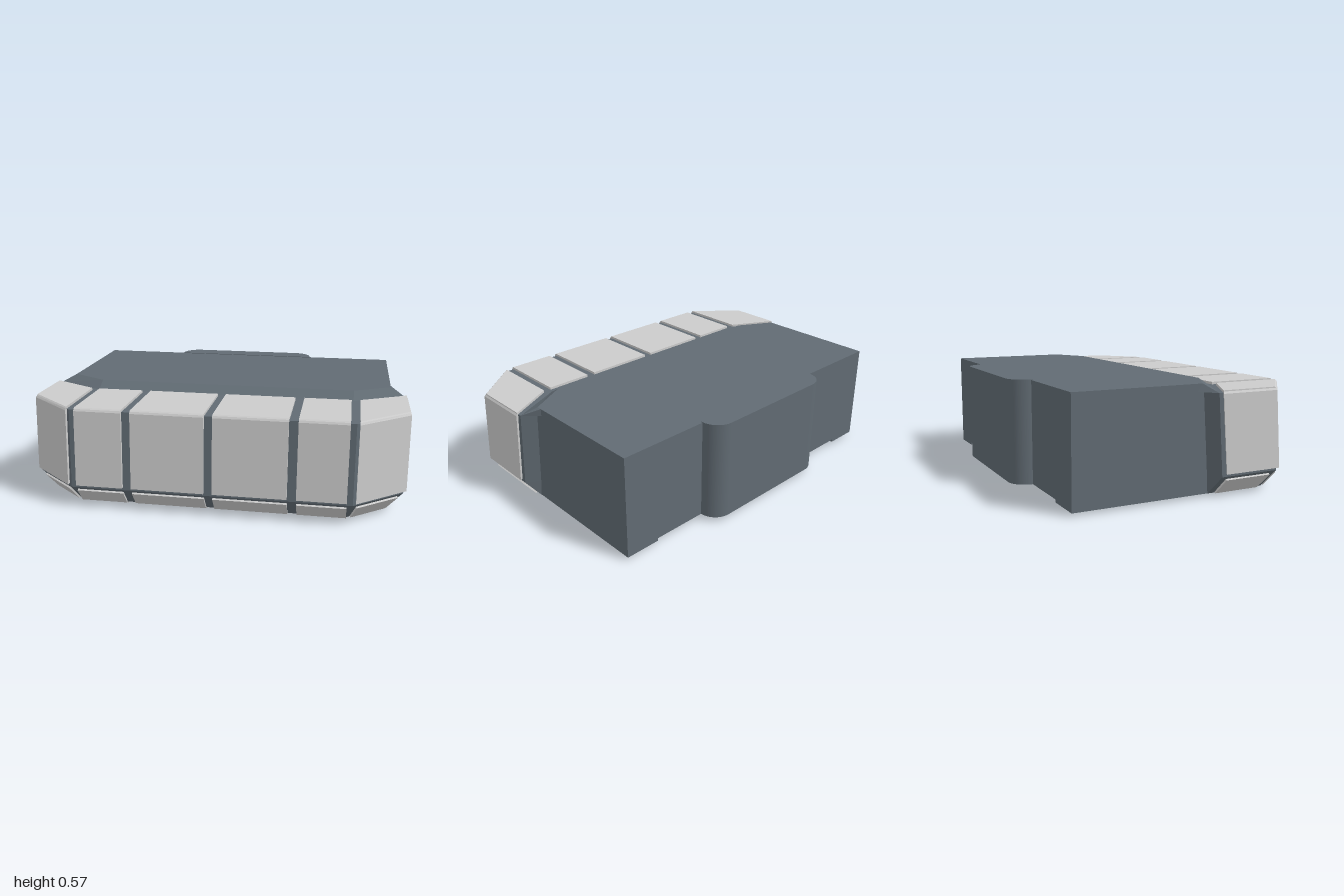
import * as THREE from 'three';

const dark = new THREE.MeshStandardMaterial({ color: 0x616b73 });
const grey = new THREE.MeshStandardMaterial({ color: 0xcccccc });

// Closed solid through rings of [x, y, z] points (clockwise seen from the last ring's side)
function loft(rings) {
  const pos = [];
  const tri = (...pts) => pts.forEach(p => pos.push(...p));
  const n = rings[0].length;
  const centre = r => [0, 1, 2].map(k => r.reduce((s, p) => s + p[k], 0) / n);
  const first = rings[0], last = rings[rings.length - 1];
  const c0 = centre(first), c1 = centre(last);
  for (let i = 0; i < n; i++) {
    const j = (i + 1) % n;
    for (let k = 0; k + 1 < rings.length; k++) {
      const lo = rings[k], up = rings[k + 1];
      tri(lo[i], up[i], lo[j]);
      tri(up[i], up[j], lo[j]);
    }
    tri(c0, first[i], first[j]);
    tri(c1, last[j], last[i]);
  }
  const g = new THREE.BufferGeometry();
  g.setAttribute('position', new THREE.Float32BufferAttribute(pos, 3));
  g.computeVertexNormals();
  return g;
}

const flip = ring => ring.map(([x, y, z]) => [-x, y, z]).reverse();
const level = (plan, y) => plan.map(([x, z]) => [x, y, z]);
const symmetric = (half, y) => [...level(half, y), ...flip(level(half, y))];

export function createModel() {
  const model = new THREE.Group();
  const add = (name, geometry, material) => {
    const mesh = new THREE.Mesh(geometry, material);
    mesh.name = name;
    model.add(mesh);
    return mesh;
  };
  const box = (name, x0, x1, y0, y1, z0, z1) =>
    add(name, new THREE.BoxGeometry(x1 - x0, y1 - y0, z1 - z0), dark)
      .position.set((x0 + x1) / 2, (y0 + y1) / 2, (z0 + z1) / 2);
  const addPair = (name, rings) => {
    add(name + 'Left', loft(rings), grey);
    add(name + 'Right', loft(rings.map(flip)), grey);
  };

  // Rear body, with a shallow recess underneath between two side rails
  box('body', -0.91, 0.91, 0.03, 0.565, -0.61, 0.05);
  box('railLeft', 0.72, 0.91, 0.015, 0.03, -0.61, 0.05);
  box('railRight', -0.91, -0.72, 0.015, 0.03, -0.61, 0.05);

  // Rounded bulge on the back
  const s = new THREE.Shape();
  s.moveTo(-0.42, 0.6);
  s.lineTo(0.42, 0.6);
  s.absarc(0.32, 0.61, 0.1, 0, Math.PI / 2, false);
  s.absarc(-0.32, 0.61, 0.1, Math.PI / 2, Math.PI, false);
  const bulge = new THREE.ExtrudeGeometry(s, { depth: 0.538, bevelEnabled: false, curveSegments: 12 });
  add('backBulge', bulge.rotateX(-Math.PI / 2).translate(0, 0.03, 0), dark);

  // Front core: leaning walls above a chamfered lower edge
  const low = [[0.91, 0.05], [0.91, 0.122], [0.912, 0.127], [0.91, 0.45], [0.70, 0.62]];
  const mid = [[0.91, 0.05], [0.91, 0.117], [0.985, 0.155], [0.985, 0.485], [0.73, 0.692]];
  const high = [[0.91, 0.05], [0.91, 0.088], [0.985, 0.125], [0.985, 0.455], [0.73, 0.66]];
  add('frontCore', loft([symmetric(low, 0.015), symmetric(mid, 0.11), symmetric(high, 0.525)]), dark);

  // Sloping ledge from the body top down to the front core
  add('topBevel', loft([
    symmetric([[0.91, 0.05], [0.985, 0.125], [0.71, 0.255]], 0.525),
    symmetric([[0.91, 0.05], [0.91, 0.08], [0.71, 0.19]], 0.565),
  ]), dark);

  // Main panels wrap the top and front, with a softened upper edge
  const spans = [[0.022, 0.403], [0.45, 0.70]];
  const panel = (name, plan, inset) => addPair(name, [
    level(plan.map(([x, z]) => [x, z + 0.032]), 0.125),
    level(plan, 0.522),
    level(inset, 0.532),
    level(inset.map(([x, z]) => [x, z - (z > 0.4 ? 0.008 : 0)]), 0.538),
  ]);
  spans.forEach(([a, b], i) => panel('frontPanel' + i,
    [[b, 0.28], [b, 0.675], [a, 0.675], [a, 0.28]],
    [[b, 0.28], [b, 0.669], [a, 0.669], [a, 0.28]]));
  panel('cornerPanel',
    [[1, 0.14], [1, 0.46], [0.745, 0.67], [0.745, 0.275]],
    [[0.993, 0.143], [0.993, 0.457], [0.745, 0.663], [0.745, 0.275]]);

  // Thin slab raised from four corners, clockwise seen from outside
  const slab = (name, ring, t) => {
    const [p0, p1, , p3] = ring.map(p => new THREE.Vector3(...p));
    const n = p3.sub(p0).cross(p1.sub(p0)).normalize().multiplyScalar(t);
    addPair(name, [ring, ring.map(([x, y, z]) => [x + n.x, y + n.y, z + n.z])]);
  };

  // Chamfer panels: front row, corners and sides, inset between the two core edges
  const chamfer = (name, ua, ub, la, lb, m) => {
    const at = (u, v) => {
      const mix = (p, q, k) => p[k] + (q[k] - p[k]) * u;
      return [0, 1].map(k => mix(ua, ub, k) * (1 - v) + mix(la, lb, k) * v);
    };
    const pt = (u, v) => {
      const [x, z] = at(u, v);
      return [x, 0.11 - 0.095 * v, z];
    };
    slab(name, [pt(1 - m, 0.14), pt(m, 0.14), pt(m, 0.95), pt(1 - m, 0.95)], 0.01);
  };
  spans.forEach(([a, b], i) =>
    chamfer('frontChamfer' + i, [b, 0.692], [a, 0.692], [b, 0.62], [a, 0.62], 0));
  chamfer('cornerChamfer', mid[3], mid[4], low[3], low[4], 0.08);
  chamfer('sideChamfer', mid[2], mid[3], low[2], low[3], 0.1);

  // Underside panels
  const under = (name, plan) => slab(name, level(plan, 0.016), 0.016);
  spans.forEach(([a, b], i) =>
    under('underPanel' + i, [[a, 0.22], [a, 0.6], [b, 0.6], [b, 0.22]]));
  under('underCornerPanel', [[0.745, 0.22], [0.745, 0.56], [0.865, 0.46], [0.865, 0.22]]);

  return model;
}
